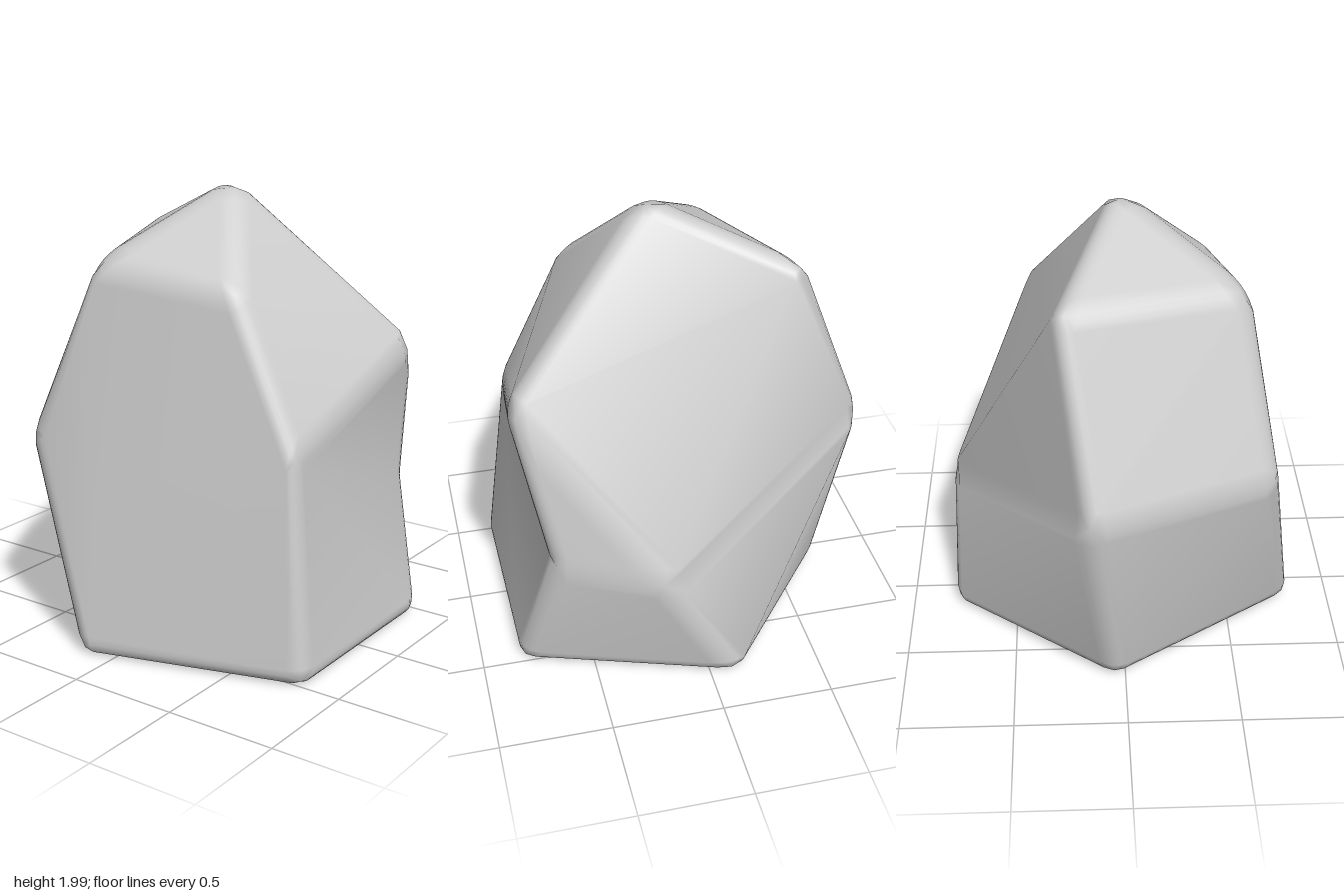
import * as THREE from 'three';
import { mergeVertices } from 'three/addons/utils/BufferGeometryUtils.js';

// Sharp corners of the boulder, before its edges are rounded
const corners = {
  T: [0.12, 2.045, -0.01], // peak
  C: [-0.23, 1.71, 0.545], D: [-0.54, 1.765, -0.285], N: [0.42, 1.62, 0.42], G: [0.81, 1.32, -0.42], // shoulders
  B: [-0.515, 0.92, 0.68], E: [-0.87, 0.92, -0.16], H: [0.73, 0.96, 0.45], // waist
  K: [0.67, 0.61, -0.61], L: [0.2, 0.56, -0.81],
  A: [-0.13, 0, 0.815], I: [0.845, 0, 0.52], J: [0.83, 0, -0.5], M: [-0.11, 0, -0.81], F: [-0.71, 0, -0.05], // foot
};
// Facets as loops of corners; each is filled as a fan from its first corner
const facets = ['TCN', 'TDC', 'NHGT', 'DTGLE', 'AIHNCB', 'HIJKG', 'KLG', 'JMLK', 'ELMF', 'FABE', 'EBCD', 'AFMJI'];
const RADIUS = 0.075;
const STEPS = 5;

function roundedRock() {
  const V = {};
  for (const k in corners) V[k] = new THREE.Vector3(...corners[k]);
  const out = [];
  const tri = (...pts) => pts.forEach((p) => out.push(p.x, p.y, p.z));
  const mean = (pts) => pts.reduce((s, p) => s.add(p), new THREE.Vector3()).divideScalar(pts.length);
  const middle = new THREE.Vector3(0, 0.95, 0);

  // Turn every facet so that it faces outward, keeping its first corner first
  const loops = facets.map((f) => {
    const loop = [...f];
    const normal = new THREE.Vector3();
    loop.forEach((k, i) => normal.add(V[k].clone().cross(V[loop[(i + 1) % loop.length]])));
    const centre = mean(loop.map((k) => V[k]));
    return normal.dot(centre.sub(middle)) < 0 ? [loop[0], ...loop.slice(1).reverse()] : loop;
  });

  // Inset facets
  const inset = {};
  const owner = {};
  loops.forEach((loop, f) => {
    const n = loop.length;
    const pts = loop.map((k, i) => {
      const next = loop[(i + 1) % n];
      const a = V[next].clone().sub(V[k]).normalize();
      const b = V[loop[(i + n - 1) % n]].clone().sub(V[k]).normalize();
      const sin = Math.max(0.5, a.clone().cross(b).length());
      const dir = a.add(b);
      const distance = (RADIUS * dir.length()) / sin;
      // Corners on a fold of the fan move along that fold
      if (n > 3 && i === 0) dir.copy(mean(loop.slice(2, n - 1).map((o) => V[o]))).sub(V[k]);
      else if (i > 1 && i < n - 1) dir.copy(V[loop[0]]).sub(V[k]);
      owner[k + next] = f;
      return (inset[f + k] = dir.setLength(distance).add(V[k]));
    });
    for (let i = 1; i < n - 1; i++) tri(pts[0], pts[i], pts[i + 1]);
  });

  // Rounded profile across one end of an edge
  const arc = (f, g, k, other) => {
    const p = inset[f + k], q = inset[g + k];
    const dir = V[other].clone().sub(V[k]).normalize();
    const along = mean([p, q]).sub(V[k]).dot(dir);
    const control = V[k].clone().addScaledVector(dir, along);
    return new THREE.QuadraticBezierCurve3(p, control, q).getPoints(STEPS);
  };

  // Edge strips, collecting the open rim at each corner
  const rims = {};
  const addRim = (k, a, b) => (rims[k] ??= []).push([a, b]);
  for (const key in owner) {
    const [u, v] = key;
    if (u > v) continue;
    const f = owner[key], g = owner[v + u];
    const cu = arc(f, g, u, v), cv = arc(f, g, v, u);
    for (let i = 0; i < STEPS; i++) {
      tri(cv[i], cu[i], cu[i + 1]);
      tri(cv[i], cu[i + 1], cv[i + 1]);
      addRim(u, cu[i + 1], cu[i]);
      addRim(v, cv[i], cv[i + 1]);
    }
  }

  // Rounded corner caps
  for (const k in rims) {
    const tip = mean(rims[k].map((r) => r[0])).lerp(V[k], 0.36);
    rims[k].forEach(([a, b]) => tri(a, b, tip));
  }

  const soup = new THREE.BufferGeometry();
  soup.setAttribute('position', new THREE.Float32BufferAttribute(out, 3));
  const geo = mergeVertices(soup, 1e-5);
  geo.computeVertexNormals();
  return geo;
}

export function createModel() {
  const group = new THREE.Group();
  group.name = 'boulder';
  const rock = new THREE.Mesh(roundedRock(), new THREE.MeshStandardMaterial({ color: 0xcccccc }));
  rock.name = 'rock';
  group.add(rock);
  return group;
}
